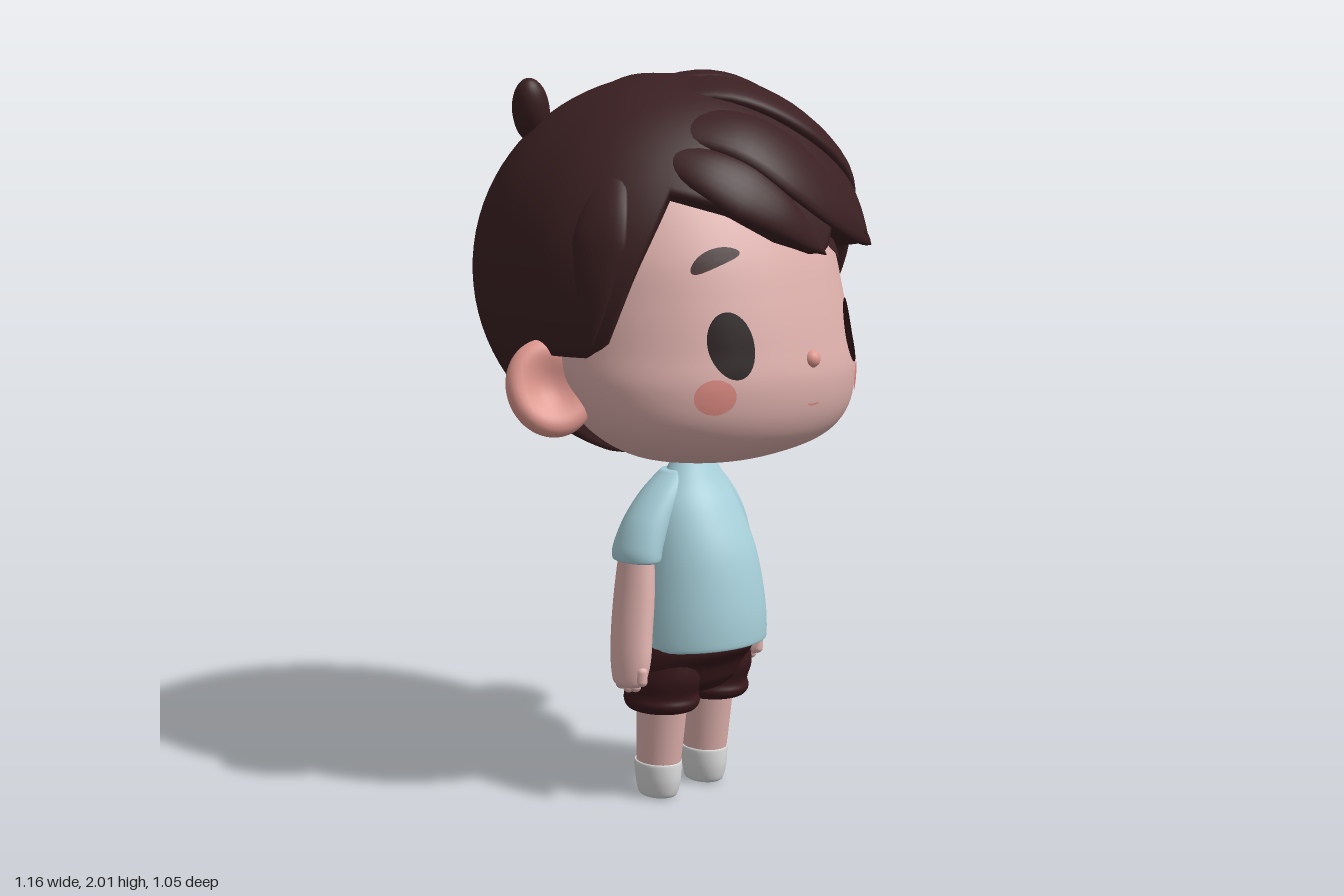
import * as THREE from 'three';
import { mergeVertices } from 'three/addons/utils/BufferGeometryUtils.js';

const mat = (name, color) => Object.assign(new THREE.MeshStandardMaterial({ color }), { name });
const V = (x, y, z) => new THREE.Vector3(x, y, z);
const rad = THREE.MathUtils.degToRad;

// Skin over a stack of rings, welded so that it shades smoothly
function skin(rings, capped = true) {
  const mid = (r) => r.reduce((a, p) => a.add(p), V(0, 0, 0)).divideScalar(r.length);
  if (capped) {
    const first = mid(rings[0]), last = mid(rings[rings.length - 1]);
    rings = [rings[0].map(() => first), ...rings, rings[0].map(() => last)];
  }
  const n = rings[0].length, pos = [], idx = [];
  rings.forEach((r) => r.forEach((p) => pos.push(p.x, p.y, p.z)));
  for (let i = 0; i < rings.length - 1; i++) {
    for (let j = 0; j < n; j++) {
      const a = i * n + j, b = i * n + (j + 1) % n;
      idx.push(a, b, a + n, b, b + n, a + n);
    }
  }
  let g = new THREE.BufferGeometry();
  g.setAttribute('position', new THREE.Float32BufferAttribute(pos, 3));
  g.setIndex(idx);
  g = mergeVertices(g, 1e-5);
  g.computeVertexNormals();
  return g;
}

// Smooth in-between rows for [y, half width, z front, z back, x centre]
function smooth(rows, steps = 6) {
  const out = [], last = rows.length - 1;
  for (let i = 0; i < last; i++) {
    const [p, q, r, s] = [-1, 0, 1, 2].map((k) => rows[Math.min(last, Math.max(0, i + k))]);
    for (let k = 0; k < steps; k++) {
      const t = k / steps;
      out.push(q.map((v, c) => v + 0.5 * t * (r[c] - p[c] + t * (2 * p[c] - 5 * v + 4 * r[c] - s[c]
        + t * (3 * (v - r[c]) + s[c] - p[c])))));
    }
  }
  return [...out, rows[last]];
}

// Stack of horizontal ellipses
function loft(rows, seg = 36) {
  return skin(smooth(rows).map(([y, w, zf, zb, x = 0]) => Array.from({ length: seg }, (_, j) => {
    const t = j / seg * Math.PI * 2;
    return V(x + w * Math.sin(t), y, (zf + zb) / 2 + (zf - zb) / 2 * Math.cos(t));
  })));
}

const FACE = [[0.955, 0.08, 0.2, 0], [0.98, 0.22, 0.32, -0.05], [1.03, 0.34, 0.44, -0.11], [1.1, 0.415, 0.495, -0.18],
  [1.2, 0.45, 0.515, -0.28], [1.3, 0.457, 0.502, -0.38], [1.42, 0.457, 0.475, -0.42], [1.55, 0.452, 0.435, -0.44],
  [1.7, 0.41, 0.36, -0.42], [1.82, 0.31, 0.26, -0.32], [1.9, 0.12, 0.12, -0.14]];
const faceRows = smooth(FACE);

function faceZ(x, y) {
  const i = faceRows.findIndex((r) => r[0] > y), a = faceRows[i - 1], b = faceRows[i];
  const t = (y - a[0]) / (b[0] - a[0]);
  const [, w, zf, zb] = a.map((v, c) => v + t * (b[c] - v));
  return (zf + zb) / 2 + (zf - zb) / 2 * Math.sqrt(1 - (x / w) ** 2);
}

// Thin oval laid on the face, optionally bent like an arch
function oval(cx, cy, rx, ry, turn = 0, bend = 0, lift = 0.006) {
  const g = new THREE.RingGeometry(0, 1, 36, 5), p = g.attributes.position;
  for (let i = 0; i < p.count; i++) {
    const u = p.getX(i) * rx, v = p.getY(i) * ry - bend * p.getX(i) ** 2;
    const x = cx + u * Math.cos(turn) - v * Math.sin(turn);
    const y = cy + u * Math.sin(turn) + v * Math.cos(turn);
    p.setXYZ(i, x, y, faceZ(x, y) + lift);
  }
  g.computeVertexNormals();
  return g;
}

// Hair volume: an ellipsoid, fuller at the back corners and on the side the fringe sweeps to
const C = V(0, 1.47, 0), R = V(0.513, 0.53, 0.522);
function hairPoint(d, s) {
  const p = d.clone().multiply(R).multiplyScalar(s);
  const corner = (2 * d.x * d.z / (d.x ** 2 + d.z ** 2 + 1e-9)) ** 2;
  const full = 1 + corner * (d.z < 0 ? 0.05 : d.x > 0 ? 0.1 : -0.045);
  p.x *= full;
  p.z *= full * (d.z > 0 ? 0.94 : 1);
  return p.add(C);
}

// Hem of the cap: [degrees round from the front, degrees down from the top]
const HEM = [[-180, 171], [-140, 168], [-120, 162], [-112, 155.5], [-105, 143], [-101, 126], [-97, 114], [-88, 112], [-74, 112],
  [-66, 108], [-57, 87], [-46, 64], [-25, 69], [-8, 78], [9, 83], [14, 75], [30, 78], [47, 83], [52, 79], [62, 84], [70, 101],
  [74, 96], [78, 117], [86, 110], [97, 114], [101, 126], [105, 143], [112, 155.5], [120, 162], [140, 168], [180, 171]];

function hairCap() {
  const seg = 180, rows = 40;
  const hem = (d) => {
    const i = Math.max(1, HEM.findIndex((h) => h[0] >= d)), [a, b] = [HEM[i - 1], HEM[i]];
    return a[1] + (b[1] - a[1]) * (d - a[0]) / (b[0] - a[0]);
  };
  const ring = (k, s) => Array.from({ length: seg }, (_, j) => {
    const d = -180 + j * 360 / seg, phi = rad(hem(d) * k), th = rad(d);
    return hairPoint(V(Math.sin(phi) * Math.sin(th), Math.cos(phi), Math.sin(phi) * Math.cos(th)), s);
  });
  const rings = [ring(1, 0.82), ring(1, 0.975)];
  for (let i = 0; i <= rows; i++) rings.push(ring((1 - i / rows) * 0.995, 1));
  return skin(rings, false);
}

// Tapered lock lying along points projected on the hair volume
function lock(points, width, thick, tipLift = 1.01) {
  const last = points.length - 1;
  const curve = new THREE.CatmullRomCurve3(points.map(([x, y, z], i) =>
    hairPoint(V(x, y, z).sub(C).divide(R).normalize(), i === last ? tipLift : i === 0 ? 0.94 : 0.99)));
  const rings = [];
  for (let i = 0; i <= 28; i++) {
    const u = i / 28, p = curve.getPoint(u), T = curve.getTangent(u);
    const N = p.clone().sub(C).divide(R).divide(R).normalize();
    const B = T.clone().cross(N).normalize();
    N.copy(B).cross(T).normalize();
    const f = Math.max(0.01, Math.pow(1 - u ** 2.4, 0.85) * (0.3 + 0.7 * Math.min(1, 2 * u)));
    rings.push(Array.from({ length: 20 }, (_, j) => {
      const t = j / 20 * Math.PI * 2;
      return p.clone().addScaledVector(B, width * f * Math.sin(t)).addScaledVector(N, thick * Math.sqrt(f) * Math.cos(t));
    }));
  }
  return skin(rings);
}

// Ear: flattened ball with a hollow front
function earGeometry() {
  const g = new THREE.SphereGeometry(1, 36, 28), p = g.attributes.position;
  for (let i = 0; i < p.count; i++) {
    const r2 = p.getX(i) ** 2 + p.getY(i) ** 2;
    if (p.getZ(i) > 0) p.setZ(i, p.getZ(i) * (1 - (1 - r2) ** 2));
  }
  g.scale(0.118, 0.132, 0.06);
  g.computeVertexNormals();
  return g;
}

export function createModel() {
  const model = new THREE.Group();
  const skinMat = mat('skin', 0xe0b2ae), earMat = mat('ear pink', 0xe0988f), blushMat = mat('blush', 0xe08c84);
  const hairMat = mat('hair brown', 0x3b2022), eyeMat = mat('eye dark', 0x1b090a), shortsMat = mat('shorts brown', 0x39181b);
  const shirtMat = mat('shirt blue', 0xa9d2dc), shoeMat = mat('shoe white', 0xdcdcdc);
  hairMat.side = THREE.DoubleSide;
  const head = new THREE.Group(), hair = new THREE.Group(), body = new THREE.Group();
  head.name = 'head'; hair.name = 'hair'; body.name = 'body';
  model.add(head, body);
  head.add(hair);
  const add = (parent, name, geometry, material) => {
    const m = new THREE.Mesh(geometry, material);
    m.name = name;
    parent.add(m);
    return m;
  };

  // Head and face
  add(head, 'face', loft(FACE, 64), skinMat);
  add(head, 'nose', new THREE.SphereGeometry(0.024, 20, 14), earMat).position.set(0, 1.265, 0.503);
  add(head, 'mouth', oval(0, 1.145, 0.024, 0.003, 0, -0.004, 0.003), blushMat);
  for (const s of [1, -1]) {
    add(head, 'eye', oval(s * 0.24, 1.315, 0.054, 0.086), eyeMat);
    add(head, 'cheek', oval(s * 0.287, 1.185, 0.045, 0.046, 0, 0, 0.004), blushMat);
    add(head, 'eyebrow', oval(s * 0.245, 1.537, 0.066, 0.021, -s * 0.4, 0.012, 0.009), hairMat);
    const ear = add(head, 'ear', earGeometry(), earMat);
    ear.position.set(s * 0.475, 1.19, 0.012);
    ear.rotation.set(-0.3, s * 0.5, -s * 0.12);
  }

  // Hair
  add(hair, 'hairCap', hairCap(), hairMat);
  const locks = [
    ['fringeLock', [[-0.3, 1.82, 0.2], [-0.22, 1.75, 0.38], [-0.08, 1.65, 0.47], [0.08, 1.53, 0.5]], 0.1, 0.03, 0.99],
    ['fringeLock', [[-0.28, 1.87, 0.05], [-0.08, 1.82, 0.34], [0.14, 1.67, 0.46], [0.37, 1.53, 0.36]], 0.13, 0.033],
    ['fringeLock', [[-0.25, 1.92, -0.1], [0.03, 1.92, 0.18], [0.29, 1.76, 0.28], [0.5, 1.5, 0.2]], 0.14, 0.033],
    ['fringeLock', [[-0.2, 1.95, -0.2], [0.1, 1.96, 0.05], [0.32, 1.86, 0.13], [0.48, 1.73, 0.17]], 0.12, 0.032, 1.04],
    ['crownLock', [[-0.16, 1.93, -0.34], [0.02, 1.99, -0.2], [0.17, 1.97, -0.1], [0.31, 1.97, -0.04]], 0.09, 0.03, 1.11],
    ['sideLock', [[0.4, 1.75, 0.15], [0.49, 1.55, 0.17], [0.49, 1.37, 0.165]], 0.07, 0.025],
    ['sideLock', [[0.48, 1.6, 0.08], [0.5, 1.4, 0.1], [0.47, 1.23, 0.1]], 0.06, 0.025, 1.03],
    ['sideLock', [[-0.3, 1.8, 0.1], [-0.43, 1.65, 0.18], [-0.47, 1.5, 0.18], [-0.465, 1.31, 0.16]], 0.09, 0.025],
  ];
  for (const [name, ...spec] of locks) add(hair, name, lock(...spec), hairMat);
  for (const [pos, size, lean] of [[[-0.285, 1.9, -0.25], [0.052, 0.093, 0.05], [-0.35, 1, 0.25]],
    [[-0.215, 1.875, -0.32], [0.043, 0.075, 0.04], [0.2, 1, -0.4]]]) {
    const tuft = add(hair, 'tuft', new THREE.SphereGeometry(1, 24, 18).scale(...size), hairMat);
    tuft.position.set(...pos);
    tuft.quaternion.setFromUnitVectors(V(0, 1, 0), V(...lean).normalize());
  }

  // Body
  body.position.x = -0.014;
  add(body, 'neck', new THREE.CylinderGeometry(0.05, 0.05, 0.1, 24).translate(0, 0.95, 0.1), skinMat);
  const shirt = loft([[0.44, 0.188, 0.285, -0.09, 0.013], [0.446, 0.197, 0.296, -0.1, 0.013], [0.55, 0.19, 0.295, -0.085, 0.01],
    [0.7, 0.168, 0.27, -0.06, 0.005], [0.82, 0.138, 0.22, -0.02, 0], [0.9, 0.1, 0.175, 0.02, 0], [0.965, 0.06, 0.145, 0.05, 0]], 48);
  // The hem hangs lower at the back
  const sp = shirt.attributes.position;
  for (let i = 0; i < sp.count; i++) {
    sp.setY(i, sp.getY(i) + 0.07 * (sp.getZ(i) - 0.1) * Math.max(0, 1 - (sp.getY(i) - 0.44) / 0.3));
  }
  shirt.computeVertexNormals();
  add(body, 'shirt', shirt, shirtMat);
  add(body, 'shorts', loft([[0.31, 0.14, 0.17, -0.03], [0.34, 0.18, 0.2, -0.05], [0.39, 0.196, 0.225, -0.065],
    [0.44, 0.19, 0.262, -0.08], [0.48, 0.17, 0.24, -0.06]], 48), shortsMat);
  for (const s of [1, -1]) {
    const part = (name, rows, x, material) =>
      add(body, name, loft(rows.map((r) => [...r.slice(0, 4), s * (r[4] ?? x)])), material);
    part('sleeve', [[0.688, 0.045, 0.125, -0.01, 0.184], [0.695, 0.053, 0.135, -0.02, 0.184], [0.73, 0.056, 0.137, -0.02, 0.178],
      [0.8, 0.058, 0.137, -0.008, 0.147], [0.87, 0.052, 0.135, 0.01, 0.1], [0.93, 0.035, 0.125, 0.04, 0.055]], 0, shirtMat);
    part('arm', [[0.35, 0.02, 0.115, 0.04, 0.24], [0.365, 0.033, 0.133, 0.025, 0.237], [0.42, 0.04, 0.142, 0.01, 0.228],
      [0.5, 0.043, 0.135, 0, 0.214], [0.6, 0.044, 0.125, -0.005, 0.196], [0.72, 0.04, 0.11, 0, 0.18]], 0, skinMat);
    for (const [z, y] of [[0.052, 0.366], [0.08, 0.36], [0.106, 0.366], [0.13, 0.385]]) {
      add(body, 'finger', new THREE.CapsuleGeometry(0.016, 0.025, 6, 12), skinMat).position.set(s * 0.24, y, z);
    }
    part('shortsLeg', [[0.258, 0.07, 0.15, -0.012], [0.265, 0.09, 0.175, -0.028], [0.285, 0.1, 0.187, -0.036],
      [0.31, 0.096, 0.183, -0.036], [0.36, 0.096, 0.202, -0.052], [0.42, 0.08, 0.2, -0.045]], 0.103, shortsMat);
    part('leg', [[0.09, 0.057, 0.122, -0.01], [0.18, 0.06, 0.135, -0.01], [0.29, 0.062, 0.15, -0.01]], 0.096, skinMat);
    part('shoe', [[0, 0.036, 0.1, 0], [0.01, 0.046, 0.115, -0.01], [0.05, 0.056, 0.125, -0.015],
      [0.095, 0.061, 0.126, -0.018], [0.104, 0.058, 0.123, -0.015]], 0.096, shoeMat);
  }
  return model;
}
